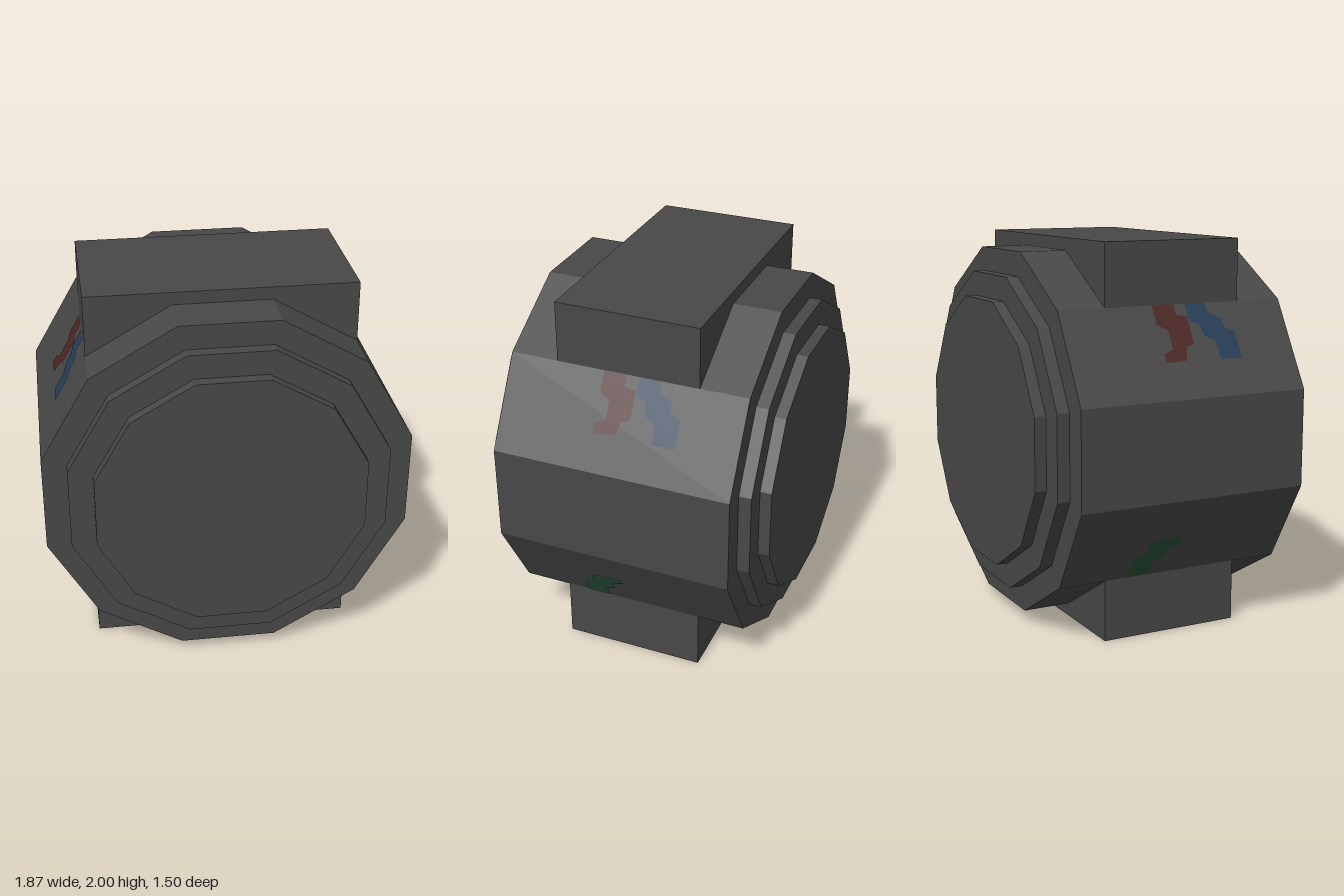
import * as THREE from 'three';

const mat = (name, color) => {
  const m = new THREE.MeshStandardMaterial({ color });
  m.name = name;
  return m;
};

export function createModel() {
  const model = new THREE.Group();
  model.name = 'watch';
  const casing = mat('charcoal', 0x484848);
  const red = mat('dark red', 0x4d2626);
  const blue = mat('dark blue', 0x263d57);
  const green = mat('dark green', 0x265038);

  const add = (name, geometry, material, parent = model) => {
    const mesh = new THREE.Mesh(geometry, material);
    mesh.name = name;
    parent.add(mesh);
    return mesh;
  };

  // Twelve-sided drum with two stepped discs, given by flat-to-centre distance and half depth
  const steps = [['drum', 0.935, 0.625], ['middleStep', 0.81, 0.69], ['innerStep', 0.685, 0.75]];
  for (const [name, apothem, half] of steps) {
    const r = apothem / Math.cos(Math.PI / 12);
    const geo = new THREE.CylinderGeometry(r, r, half * 2, 12, 1, false, Math.PI / 12)
      .rotateX(Math.PI / 2).toNonIndexed();
    geo.computeVertexNormals();
    add(name, geo, casing).position.y = 1;
  }

  // Strap lugs above and below the drum
  for (const [name, y] of [['upperLug', 1.75], ['lowerLug', 0.25]]) {
    add(name, new THREE.BoxGeometry(1.37, 0.5, 0.75), casing).position.y = y;
  }

  // Painted marks lying on the slanted side faces; points are [z, y]
  const slope = 0.25 / 0.434;
  const mark = (points) => {
    const shape = new THREE.Shape(points.map(([z, y]) => new THREE.Vector2(-z, y)));
    const geo = new THREE.ShapeGeometry(shape);
    const p = geo.attributes.position;
    for (let i = 0; i < p.count; i++) {
      const u = p.getX(i), y = p.getY(i);
      p.setXYZ(i, 0.939 - (Math.abs(y - 1) - 0.25) * slope, y, -u);
    }
    geo.computeVertexNormals();
    return geo;
  };
  const redMark = mark([[0.12, 1.685], [0, 1.685], [0, 1.635], [-0.06, 1.625], [-0.06, 1.5], [-0.015, 1.485],
    [0.005, 1.425], [0.12, 1.42], [0.12, 1.46], [0.065, 1.48], [0.065, 1.565], [0.12, 1.595]]);
  const blueMark = mark([[-0.065, 1.685], [-0.18, 1.685], [-0.185, 1.635], [-0.25, 1.61], [-0.255, 1.565],
    [-0.31, 1.545], [-0.31, 1.42], [-0.19, 1.42], [-0.185, 1.51], [-0.13, 1.53], [-0.12, 1.585], [-0.065, 1.605]]);
  const greenMark = mark([[0.25, 0.32], [0.25, 0.41], [0.185, 0.465], [0.18, 0.515], [0.14, 0.53], [0.005, 0.53],
    [0.005, 0.5], [0.065, 0.47], [0.075, 0.42], [0.125, 0.4], [0.125, 0.32]]);

  // The same marks turned half way round for the opposite side
  for (const [name, angle] of [['leftMarks', 0], ['rightMarks', Math.PI]]) {
    const side = new THREE.Group();
    side.name = name;
    side.rotation.y = angle;
    add('redMark', redMark, red, side);
    add('blueMark', blueMark, blue, side);
    add('greenMark', greenMark, green, side);
    model.add(side);
  }
  return model;
}
